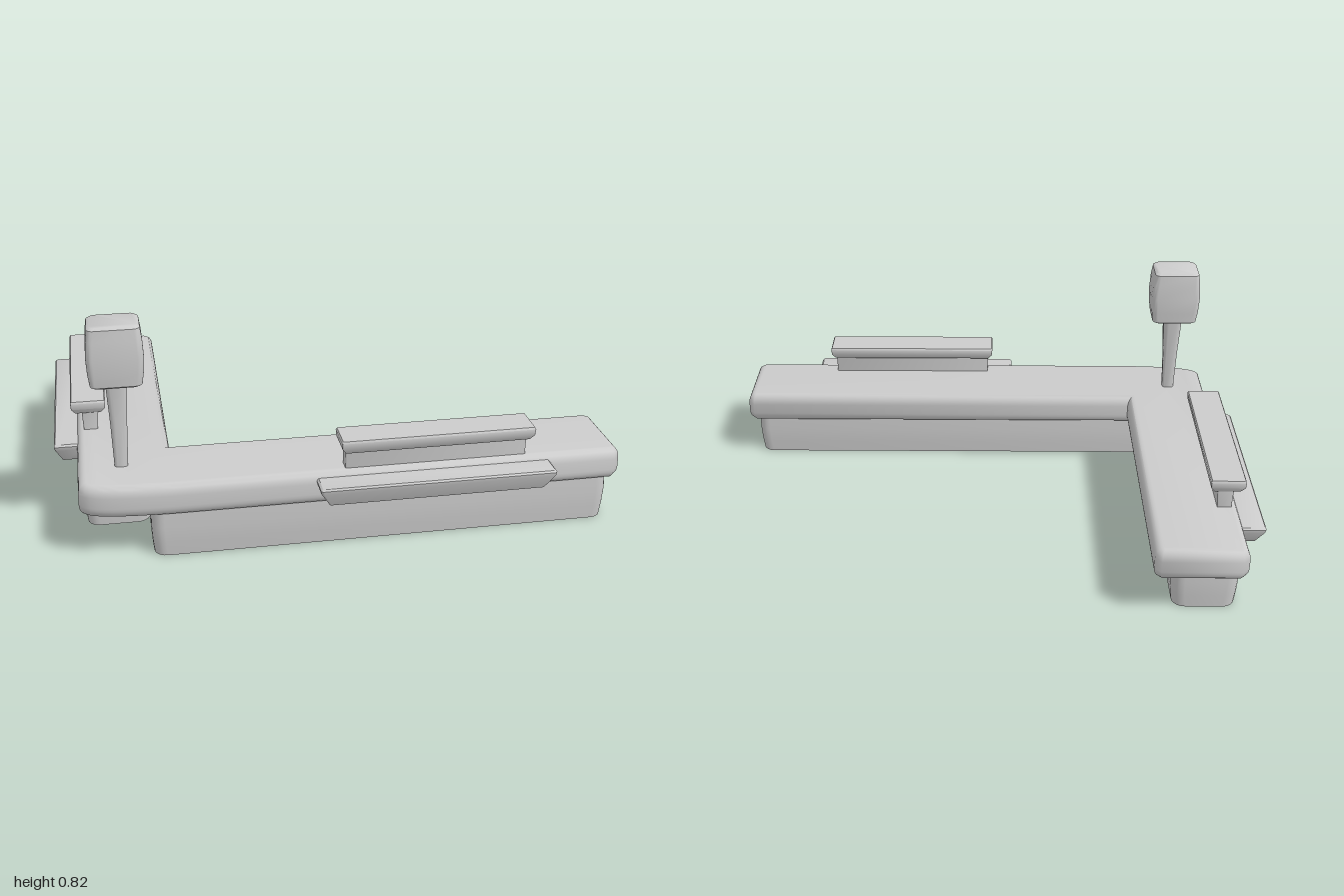
import * as THREE from 'three';
import { mergeVertices, toCreasedNormals } from 'three/addons/utils/BufferGeometryUtils.js';

const solid = new THREE.MeshStandardMaterial({ color: 0xcccccc });
const thin = new THREE.MeshStandardMaterial({ color: 0xcccccc, side: THREE.DoubleSide });

// Rounded rectangle corner points, n steps per corner
function ring(x0, x1, z0, z1, r, n = 5) {
  const pts = [];
  const centres = [[x1 - r, z1 - r], [x0 + r, z1 - r], [x0 + r, z0 + r], [x1 - r, z0 + r]];
  centres.forEach(([cx, cz], c) => {
    for (let i = 0; i <= n; i++) {
      const a = (c + i / n) * Math.PI / 2;
      pts.push([cx + r * Math.cos(a), cz + r * Math.sin(a)]);
    }
  });
  return pts;
}

// Skin through rounded rectangles, bottom to top: [y, x0, x1, z0, z1, radius]
function loft(name, sections, open = false) {
  const pos = [], idx = [];
  const rings = sections.map(([y, ...s]) => ring(...s).map(([x, z]) => [x, y, z]));
  const n = rings[0].length;
  rings.forEach(r => r.forEach(p => pos.push(...p)));
  for (let k = 0; k < rings.length - 1; k++) {
    for (let i = 0; i < n; i++) {
      const a = k * n + i, b = k * n + (i + 1) % n;
      idx.push(a, a + n, b, b, a + n, b + n);
    }
  }
  if (!open) {
    const top = (rings.length - 1) * n;
    for (let i = 1; i < n - 1; i++) {
      idx.push(0, i, i + 1);
      idx.push(top, top + i + 1, top + i);
    }
  }
  const geo = new THREE.BufferGeometry();
  geo.setAttribute('position', new THREE.Float32BufferAttribute(pos, 3));
  geo.setIndex(idx);
  const mesh = new THREE.Mesh(toCreasedNormals(geo, 0.7), open ? thin : solid);
  mesh.name = name;
  return mesh;
}

// L-shaped slab with softly rounded edges
function counterTop() {
  const c = 0.006;
  const s = new THREE.Shape();
  s.moveTo(-0.89 + c, -0.73);
  s.lineTo(-0.62 - c, -0.73);
  s.lineTo(-0.62, -0.73 + c);
  s.lineTo(-0.62, 0.385);
  s.lineTo(0.97 - c, 0.385);
  s.lineTo(0.97, 0.385 + c);
  s.lineTo(0.97, 0.645 - c);
  s.lineTo(0.97 - c, 0.645);
  s.lineTo(-0.6, 0.645);
  s.quadraticCurveTo(-0.86, 0.64, -0.89, 0.6);
  s.lineTo(-0.89, -0.73 + c);
  let geo = new THREE.ExtrudeGeometry(s, {
    depth: 0.04, bevelThickness: 0.04, bevelSize: 0.03, bevelSegments: 6, curveSegments: 10,
  });
  geo.rotateX(Math.PI / 2).translate(0, 0.245, 0);
  geo.deleteAttribute('normal');
  geo.deleteAttribute('uv');
  geo = toCreasedNormals(mergeVertices(geo), 0.8);
  const mesh = new THREE.Mesh(geo, solid);
  mesh.name = 'counterTop';
  return mesh;
}

// Hollow plinth, open underneath
function base(name, x0, x1, z0, z1) {
  const at = (y, i) => [y, x0 + i, x1 - i, z0 + i, z1 - i, 0.045];
  return loft(name, [at(0, 0.008), at(0.05, 0.003), at(0.11, 0), at(0.175, 0.002)], true);
}

// Raised service shelf and lower ledge, local z = 0 on the counter edge
function shelfSet(name, ledgeX) {
  const g = new THREE.Group();
  g.name = name;
  const l = ledgeX;
  g.add(
    loft('shelfRiser', [
      [0.27, -0.325, 0.325, -0.077, -0.027, 0.004],
      [0.36, -0.325, 0.325, -0.083, -0.022, 0.004],
    ]),
    loft('raisedShelf', [
      [0.355, -0.33, 0.33, -0.095, 0.002, 0.004],
      [0.375, -0.343, 0.343, -0.108, 0.015, 0.004],
      [0.398, -0.345, 0.345, -0.11, 0.017, 0.004],
      [0.405, -0.341, 0.341, -0.106, 0.013, 0.004],
    ]),
    loft('lowerLedge', [
      [0.19, l - 0.385, l + 0.385, -0.03, 0.058, 0.006],
      [0.245, l - 0.418, l + 0.418, -0.03, 0.083, 0.01],
      [0.258, l - 0.42, l + 0.42, -0.03, 0.085, 0.01],
      [0.265, l - 0.413, l + 0.413, -0.03, 0.08, 0.01],
    ]),
  );
  return g;
}

export function createModel() {
  const model = new THREE.Group();
  model.name = 'cornerCounter';
  model.add(
    counterTop(),
    base('frontBase', -0.68, 0.97, 0.388, 0.655),
    base('sideBase', -0.905, -0.665, -0.69, 0.402),
  );

  const front = shelfSet('frontShelves', -0.01);
  front.position.set(0.323, 0, 0.675);
  const side = shelfSet('sideShelves', -0.015);
  side.position.set(-0.918, 0, -0.145);
  side.rotation.y = -Math.PI / 2;
  model.add(front, side);

  // Tapered post carrying a bulging block
  const px = -0.767, pz = 0.48;
  const box = (y, hx, hz, r) => [y, px - hx, px + hx, pz - hz, pz + hz, r];
  model.add(
    loft('post', [box(0.27, 0.023, 0.025, 0.015), box(0.45, 0.029, 0.031, 0.018), box(0.61, 0.038, 0.04, 0.022)]),
    loft('postHead', [
      box(0.6, 0.078, 0.064, 0.02), box(0.607, 0.088, 0.073, 0.022), box(0.65, 0.094, 0.077, 0.022),
      box(0.71, 0.097, 0.08, 0.022), box(0.77, 0.094, 0.077, 0.022), box(0.812, 0.088, 0.073, 0.022),
      box(0.82, 0.078, 0.064, 0.02),
    ]),
  );
  return model;
}
